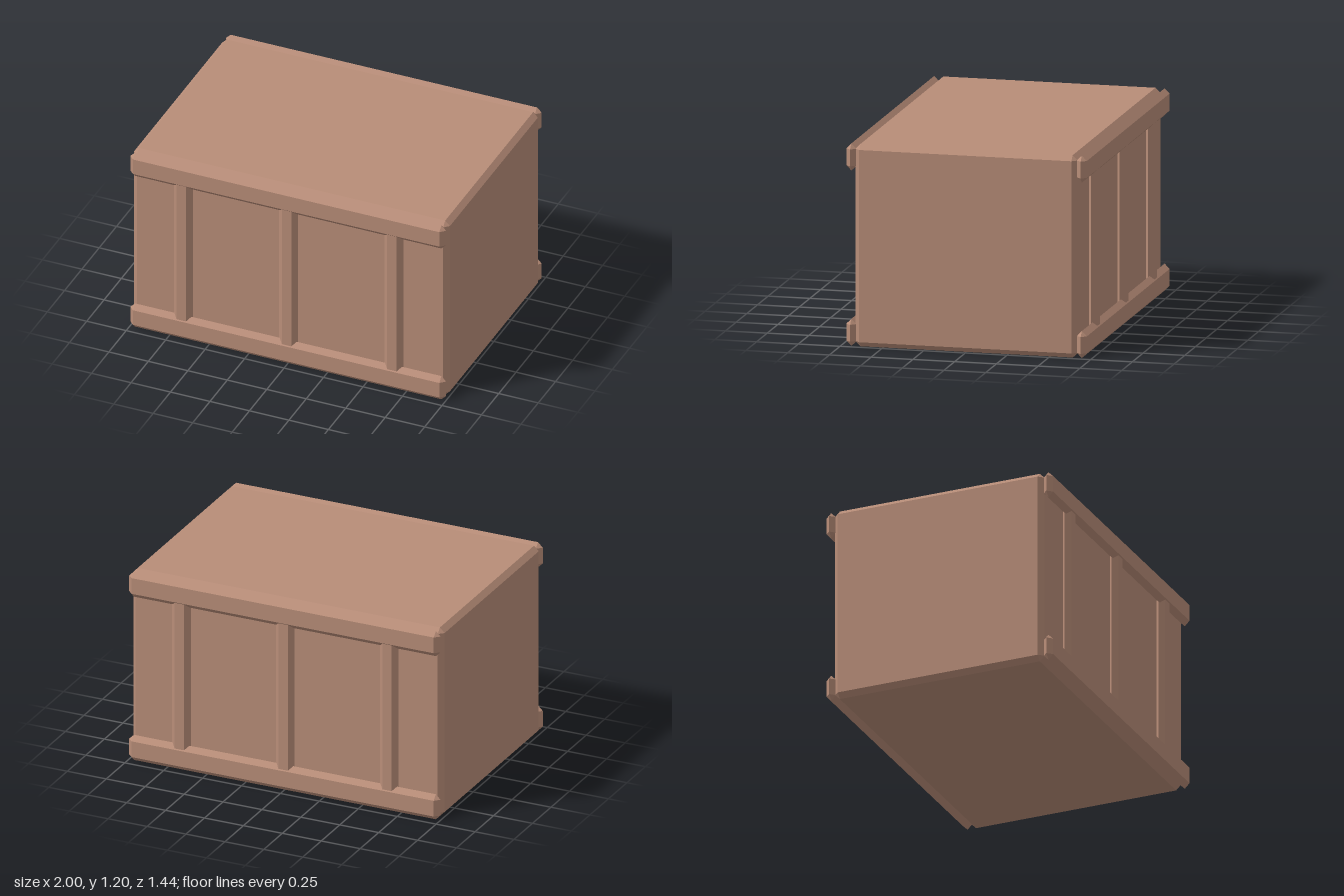
import * as THREE from 'three';
import { ConvexGeometry } from 'three/addons/geometries/ConvexGeometry.js';

const CHAMFER = 0.03;

// Box with every edge and corner cut at 45 degrees: the hull of its six inset faces
function chamferedBox(width, height, depth, c = CHAMFER) {
  const half = [width / 2, height / 2, depth / 2];
  const points = new Map();
  for (let axis = 0; axis < 3; axis++) {
    for (const sx of [-1, 1]) for (const sy of [-1, 1]) for (const sz of [-1, 1]) {
      const p = [sx, sy, sz].map((s, i) => s * (i === axis ? half[i] : half[i] - c));
      // Bars as thin as two chamfers share ridge points, so keep each once
      points.set(p.map((v) => Math.round(v * 1e4)).join(), new THREE.Vector3(...p));
    }
  }
  return new ConvexGeometry([...points.values()]);
}

export function createModel() {
  const crate = new THREE.Group();
  crate.name = 'crate';
  const wood = new THREE.MeshStandardMaterial({ color: 0xb88d78 });
  wood.name = 'brown wood';

  const add = (name, geometry, x, y, z) => {
    const mesh = new THREE.Mesh(geometry, wood);
    mesh.name = name;
    mesh.position.set(x, y, z);
    crate.add(mesh);
  };

  // Main block
  add('body', chamferedBox(2, 1.2, 1.33), 0, 0.6, 0);

  // Rails and posts on the front and the back
  const rail = chamferedBox(2, 0.16, 0.06);
  const post = chamferedBox(0.12, 1.1, 0.06);
  for (const [side, s] of [['front', 1], ['back', -1]]) {
    add(`${side}BottomRail`, rail, 0, 0.08, s * 0.69);
    add(`${side}TopRail`, rail, 0, 1.12, s * 0.69);
    for (const x of [-0.667, 0, 0.667]) add(`${side}Post`, post, x, 0.6, s * 0.684);
  }
  return crate;
}
